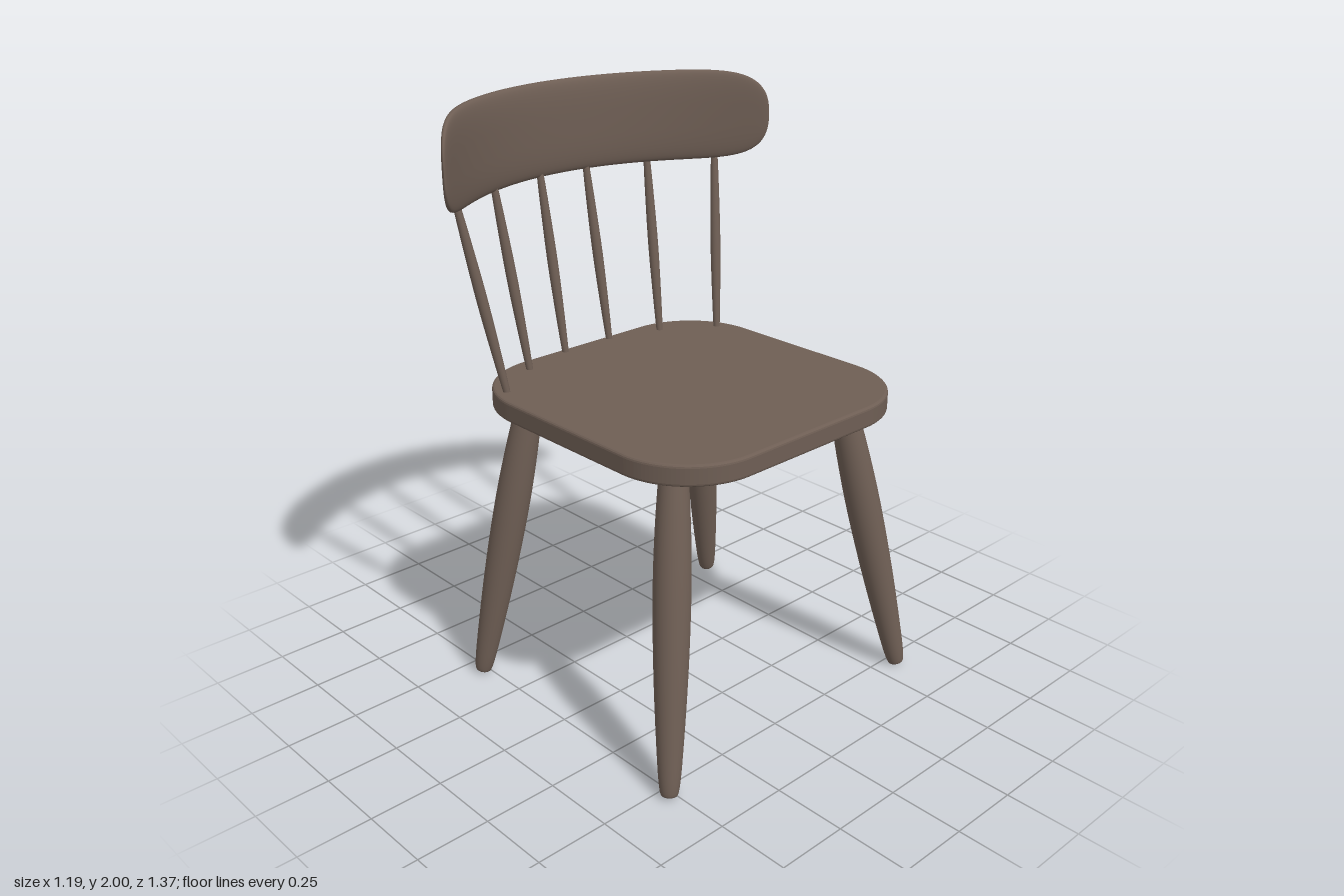
import * as THREE from 'three';

const wood = new THREE.MeshStandardMaterial({ color: 0x6e5e54 });

function add(group, name, geometry) {
  const mesh = new THREE.Mesh(geometry, wood);
  mesh.name = name;
  group.add(mesh);
  return mesh;
}

// Turned rod from point a to point b; profile rows are [radius, fraction of length]
function turnedRod(group, name, a, b, profile, sides) {
  const axis = b.clone().sub(a);
  const curve = new THREE.SplineCurve(profile.map(([r, t]) => new THREE.Vector2(r, t * axis.length())));
  const pts = curve.getPoints(24);
  pts.forEach((p) => { p.x = Math.max(p.x, 0); });
  pts.unshift(new THREE.Vector2(0, 0));
  pts.push(new THREE.Vector2(0, axis.length()));
  const mesh = add(group, name, new THREE.LatheGeometry(pts, sides));
  mesh.position.copy(a);
  mesh.quaternion.setFromUnitVectors(new THREE.Vector3(0, 1, 0), axis.normalize());
}

// Rounded square slab with a small eased edge
function seatGeometry() {
  const bevel = 0.01, w = 0.5375 - bevel, d = 0.535 - bevel, r = 0.26;
  const s = new THREE.Shape();
  s.absarc(w - r, d - r, r, 0, Math.PI / 2);
  s.absarc(-w + r, d - r, r, Math.PI / 2, Math.PI);
  s.absarc(-w + r, -d + r, r, Math.PI, Math.PI * 1.5);
  s.absarc(w - r, -d + r, r, Math.PI * 1.5, Math.PI * 2);
  s.closePath();
  const g = new THREE.ExtrudeGeometry(s, {
    depth: 0.07 - 2 * bevel, bevelEnabled: true, bevelSize: bevel,
    bevelThickness: bevel, bevelSegments: 3, curveSegments: 16,
  });
  return g.rotateX(-Math.PI / 2).translate(0.0575, 1.02 + bevel, -0.02);
}

// Curved rail: superellipse sections swept round an arc, shrinking at both ends
function railGeometry() {
  const along = 72, around = 40, R = 0.818, cx = 0.248, cy = 1.843, sweep = 0.955;
  const pos = [], index = [];
  const power = (v, e) => Math.sign(v) * Math.abs(v) ** e;
  for (let i = 0; i <= along; i++) {
    const u = Math.sin((i / along - 0.5) * Math.PI);
    const a = u * sweep, k = Math.abs(u);
    const halfThick = 0.0275 * Math.sqrt(Math.max(0, 1 - k ** 4));
    const halfHigh = 0.157 * Math.max(0, 1 - k ** 10) ** 0.4;
    const radius = R + 0.022 * k ** 4;
    for (let j = 0; j < around; j++) {
      const t = (j / around) * Math.PI * 2;
      const rr = radius + halfThick * power(Math.cos(t), 0.7);
      pos.push(cx - rr * Math.cos(a), cy + halfHigh * power(Math.sin(t), 0.7), rr * Math.sin(a));
      if (i < along) {
        const n = (j + 1) % around, p = i * around;
        index.push(p + j, p + around + j, p + n, p + n, p + around + j, p + around + n);
      }
    }
  }
  const g = new THREE.BufferGeometry();
  g.setAttribute('position', new THREE.Float32BufferAttribute(pos, 3));
  g.setIndex(index);
  g.computeVertexNormals();
  return g;
}

export function createModel() {
  const chair = new THREE.Group();
  chair.name = 'chair';

  add(chair, 'seat', seatGeometry());
  add(chair, 'backRail', railGeometry());

  // Splayed legs, swollen in the middle
  const legProfile = [[0.022, 0], [0.03, 0.015], [0.039, 0.1], [0.053, 0.35],
    [0.059, 0.6], [0.055, 0.8], [0.043, 1]];
  for (const side of [1, -1]) {
    for (const [name, footX, topX] of [['frontLeg', 0.54, 0.37], ['backLeg', -0.43, -0.322]]) {
      turnedRod(chair, name,
        new THREE.Vector3(footX, 0.004, side * 0.556 - 0.035),
        new THREE.Vector3(topX, 1.03, side * 0.38 - 0.037), legProfile, 28);
    }
  }

  // Fanned spindles between seat and rail: [bottom x, top x, bottom z, top z]
  const spindleProfile = [[0.011, 0], [0.015, 0.2], [0.018, 0.5], [0.015, 0.8], [0.011, 1]];
  const spindles = [[-0.455, -0.565, 0.1, 0.1], [-0.403, -0.508, 0.296, 0.333], [-0.291, -0.397, 0.475, 0.56]];
  for (const side of [1, -1]) {
    for (const [x0, x1, z0, z1] of spindles) {
      turnedRod(chair, 'spindle',
        new THREE.Vector3(x0, 1.075, side * z0 - 0.017),
        new THREE.Vector3(x1, 1.72, side * z1 - 0.014), spindleProfile, 14);
    }
  }
  return chair;
}
